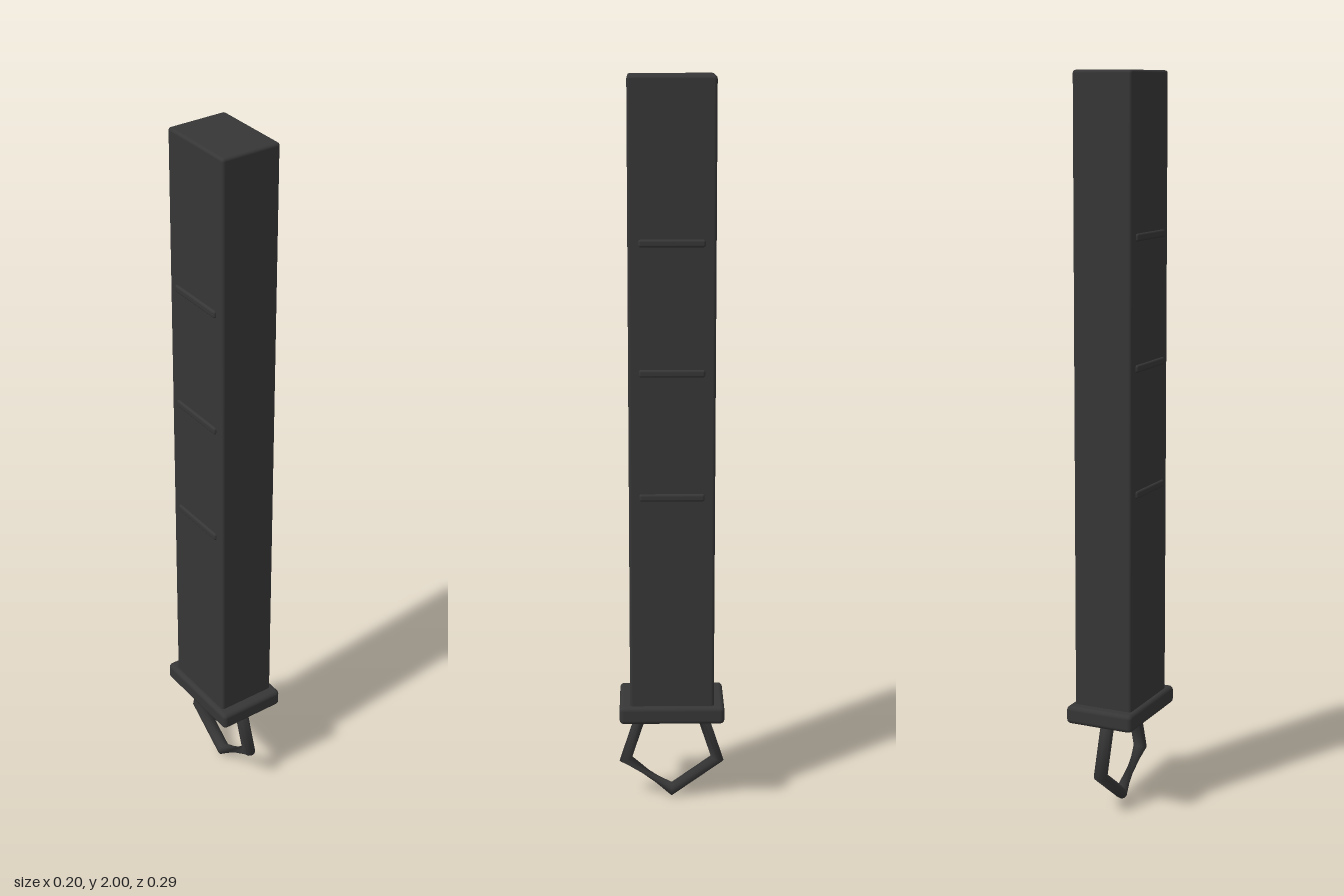
import * as THREE from 'three';
import { RoundedBoxGeometry } from 'three/addons/geometries/RoundedBoxGeometry.js';

export function createModel() {
  const group = new THREE.Group();
  const darkGrey = new THREE.MeshStandardMaterial({ color: 0x363636 });
  darkGrey.name = 'darkGrey';

  const add = (name, geometry, y) => {
    const mesh = new THREE.Mesh(geometry, darkGrey);
    mesh.name = name;
    mesh.position.y = y;
    group.add(mesh);
  };
  const block = (name, w, h, d, r, y) => add(name, new RoundedBoxGeometry(w, h, d, 3, r), y);

  // Long grip and its end collar
  block('grip', 0.168, 1.72, 0.23, 0.008, 1.14);
  block('collar', 0.196, 0.05, 0.288, 0.012, 0.281);

  // Thin ridges showing on both sides of the grip
  [1.578, 1.237, 0.9].forEach((y, i) => block('ridge' + (i + 1), 0.18, 0.02, 0.174, 0.006, y));

  // Five-sided ring, point down, with a twist in its last side
  const sides = 10, corners = 5, twist = 3;
  const ring = new THREE.TorusGeometry(0.135, 0.019, sides, corners);
  for (const attribute of [ring.attributes.position, ring.attributes.normal]) {
    for (let j = 0; j <= sides; j++) {
      const from = ((j + twist) % sides) * (corners + 1);
      attribute.setXYZ(j * (corners + 1) + corners,
        attribute.getX(from), attribute.getY(from), attribute.getZ(from));
    }
  }
  ring.rotateZ(-Math.PI / 2).rotateY(Math.PI / 2);
  add('ring', ring, 0.156);

  return group;
}
